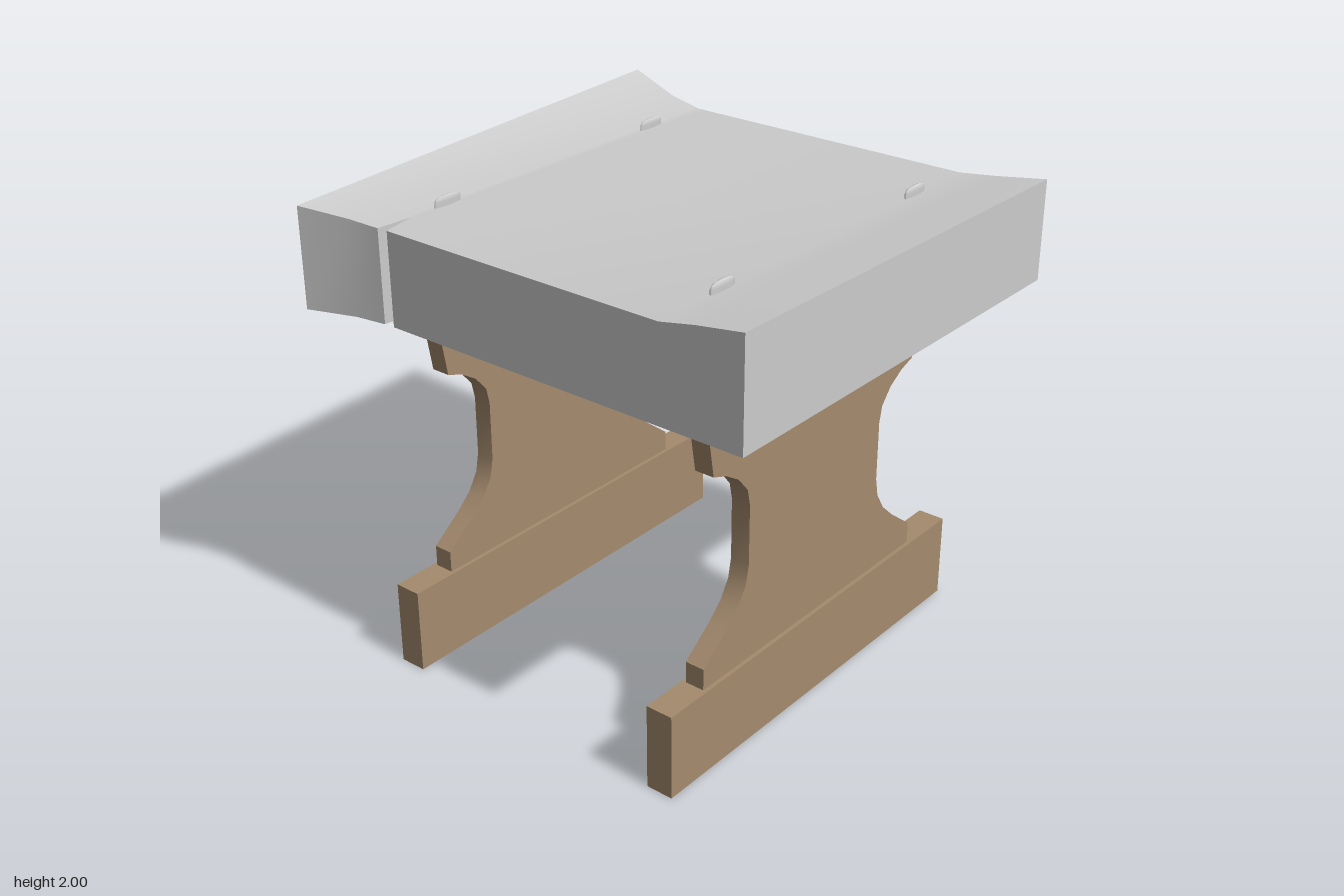
import * as THREE from 'three';
import { toCreasedNormals } from 'three/addons/utils/BufferGeometryUtils.js';

const stone = new THREE.MeshStandardMaterial({ color: 0xcccccc });
const wood = new THREE.MeshStandardMaterial({ color: 0xa58b6e });
const SLAB_BOTTOM = 1.51;

function addMesh(parent, name, geometry, material, x = 0, y = 0, z = 0) {
  const mesh = new THREE.Mesh(geometry, material);
  mesh.name = name;
  mesh.position.set(x, y, z);
  parent.add(mesh);
  return mesh;
}

// Warped slab: four-cornered sections along x, with a V-shaped split in the front edge
function slabGeometry() {
  // x, front z, front top y, back z, back top y
  const sections = [
    [-1, 0.995, 1.925, -0.945, 2.0],
    [-0.8, 0.925, 1.9, -0.945, 1.92],
    [-0.668, 0.905, 1.89, -0.945, 1.893],
    [-0.655, 0.755, 1.89, -0.945, 1.89],
    [-0.622, 0.903, 1.89, -0.945, 1.89],
    [0.65, 0.903, 1.89, -0.945, 1.89],
    [0.8, 0.903, 1.92, -0.96, 1.905],
    [1, 0.903, 1.95, -1, 1.925],
  ];
  const positions = [];
  for (const [x, zf, yf, zb, yb] of sections) {
    positions.push(x, SLAB_BOTTOM, zf, x, yf, zf, x, yb, zb, x, SLAB_BOTTOM, zb);
  }
  const index = [0, 1, 2, 0, 2, 3];
  for (let i = 0; i < sections.length - 1; i++) {
    for (let k = 0; k < 4; k++) {
      const a = i * 4 + k, d = i * 4 + (k + 1) % 4;
      index.push(a, a + 4, d + 4, a, d + 4, d);
    }
  }
  const e = (sections.length - 1) * 4;
  index.push(e, e + 3, e + 2, e, e + 2, e + 1);
  const g = new THREE.BufferGeometry();
  g.setAttribute('position', new THREE.Float32BufferAttribute(positions, 3));
  g.setIndex(index);
  return toCreasedNormals(g, Math.PI / 6);
}

// Waisted trestle panel, half profile mirrored about its centre line
function panelGeometry(thickness) {
  const half = [
    [0.682, 0.36], [0.682, 0.45], [0.55, 0.55], [0.48, 0.615], [0.434, 0.69], [0.418, 0.77],
    [0.418, 1.02], [0.433, 1.09], [0.488, 1.155], [0.56, 1.2], [0.632, 1.225], [0.68, SLAB_BOTTOM],
  ];
  const outline = [...half, ...half.map(([u, y]) => [-u, y]).reverse()];
  const shape = new THREE.Shape(outline.map(([u, y]) => new THREE.Vector2(u, y)));
  const g = new THREE.ExtrudeGeometry(shape, { depth: thickness, bevelEnabled: false });
  g.translate(0, 0, -thickness / 2).rotateY(-Math.PI / 2);
  return toCreasedNormals(g, Math.PI / 6);
}

// Flattened oval peg with a softly domed head
function pegGeometry() {
  const profile = [[1, 0], [1, 0.05], [0.85, 0.062], [0.5, 0.068], [0, 0.07]];
  const g = new THREE.LatheGeometry(profile.map(([r, y]) => new THREE.Vector2(r, y)), 20);
  return g.scale(0.012, 1, 0.067);
}

export function createModel() {
  const model = new THREE.Group();
  model.name = 'table';
  addMesh(model, 'slabTop', slabGeometry(), stone);

  const panel = panelGeometry(0.082);
  const foot = new THREE.BoxGeometry(0.115, 0.36, 1.825);
  const peg = pegGeometry();
  for (const [side, x] of [['right', -0.654], ['left', 0.648]]) {
    const trestle = new THREE.Group();
    trestle.name = side + 'Trestle';
    trestle.position.x = x;
    addMesh(trestle, 'panel', panel, wood, 0, 0, 0.023);
    addMesh(trestle, 'foot', foot, wood, 0, 0.18, -0.003);
    model.add(trestle);

    // Peg ends showing through the slab
    addMesh(model, side + 'FrontPeg', peg, stone, x, 1.86, 0.565);
    addMesh(model, side + 'BackPeg', peg, stone, x, 1.86, -0.62);
  }
  return model;
}
